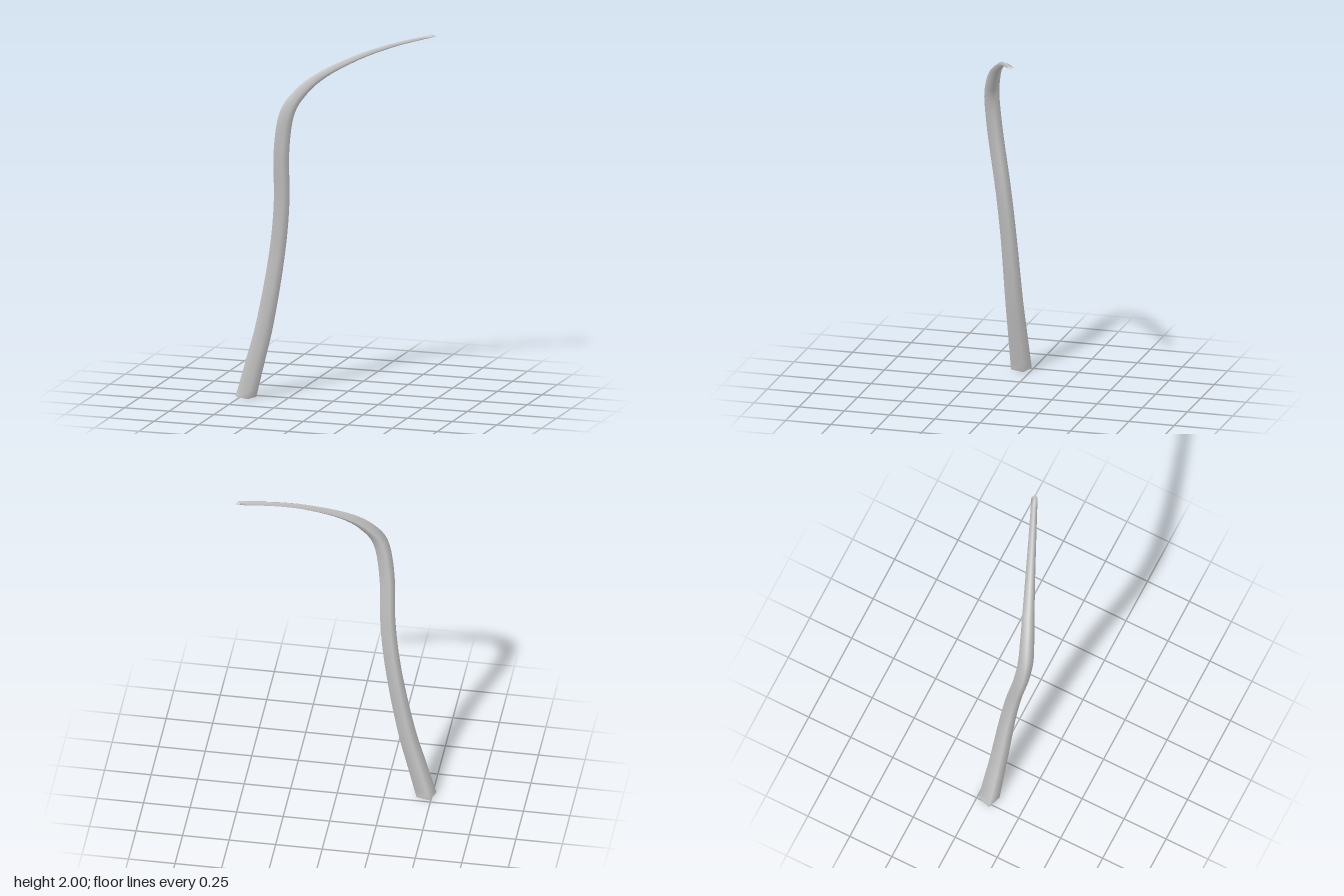
import * as THREE from 'three';

// Centre line stations: x, y, z, radius
const STATIONS = [
  [-0.47, 0.006, 0.0575, 0.056],
  [-0.418, 0.2, 0.061, 0.052],
  [-0.365, 0.4, 0.065, 0.048],
  [-0.29, 0.8, 0.076, 0.043],
  [-0.257, 1.08, 0.097, 0.042],
  [-0.243, 1.4, 0.137, 0.042],
  [-0.206, 1.6, 0.143, 0.041],
  [-0.143, 1.7, 0.118, 0.038],
  [-0.05, 1.785, 0.077, 0.033],
  [0.13, 1.882, -0.003, 0.026],
  [0.3, 1.944, -0.078, 0.021],
  [0.504, 1.994, -0.169, 0.0165],
];
const SIDES = 4;
const RINGS = 48;
const TURN = 0.47; // rotation of the square section about the vertical

function createStem() {
  const curve = new THREE.CatmullRomCurve3(STATIONS.map(([x, y, z]) => new THREE.Vector3(x, y, z)));
  const up = new THREE.Vector3(0, 1, 0);
  const positions = [];
  const index = [];

  // Square sections, leaning only partly with the curve
  for (let i = 0; i <= RINGS; i++) {
    const t = i / RINGS;
    const s = t * (STATIONS.length - 1);
    const k = Math.min(Math.floor(s), STATIONS.length - 2);
    const radius = THREE.MathUtils.lerp(STATIONS[k][3], STATIONS[k + 1][3], s - k);
    const centre = curve.getPoint(t);
    const normal = curve.getTangent(t).addScaledVector(up, 3).normalize();
    const lean = new THREE.Quaternion().setFromUnitVectors(up, normal);
    for (let j = 0; j < SIDES; j++) {
      const a = (j / SIDES) * Math.PI * 2 + TURN;
      const p = new THREE.Vector3(Math.cos(a) * radius, 0, -Math.sin(a) * radius);
      positions.push(...p.applyQuaternion(lean).add(centre).toArray());
    }
  }
  for (let i = 0; i < RINGS; i++) {
    for (let j = 0; j < SIDES; j++) {
      const a = i * SIDES + j;
      const b = i * SIDES + ((j + 1) % SIDES);
      index.push(a, b, b + SIDES, a, b + SIDES, a + SIDES);
    }
  }

  // End caps on their own corners, so their rims stay sharp
  const base = positions.slice(0, SIDES * 3);
  const tip = positions.slice(-SIDES * 3);
  const c = positions.length / 3;
  positions.push(...base, ...tip);
  for (let j = 1; j < SIDES - 1; j++) {
    index.push(c, c + j + 1, c + j);
    index.push(c + SIDES, c + SIDES + j, c + SIDES + j + 1);
  }

  const geometry = new THREE.BufferGeometry();
  geometry.setAttribute('position', new THREE.Float32BufferAttribute(positions, 3));
  geometry.setIndex(index);
  geometry.computeVertexNormals();
  return geometry;
}

export function createModel() {
  const group = new THREE.Group();
  group.name = 'curvedStem';
  const stem = new THREE.Mesh(createStem(), new THREE.MeshStandardMaterial({ color: 0xcccccc }));
  stem.name = 'stem';
  group.add(stem);
  return group;
}
